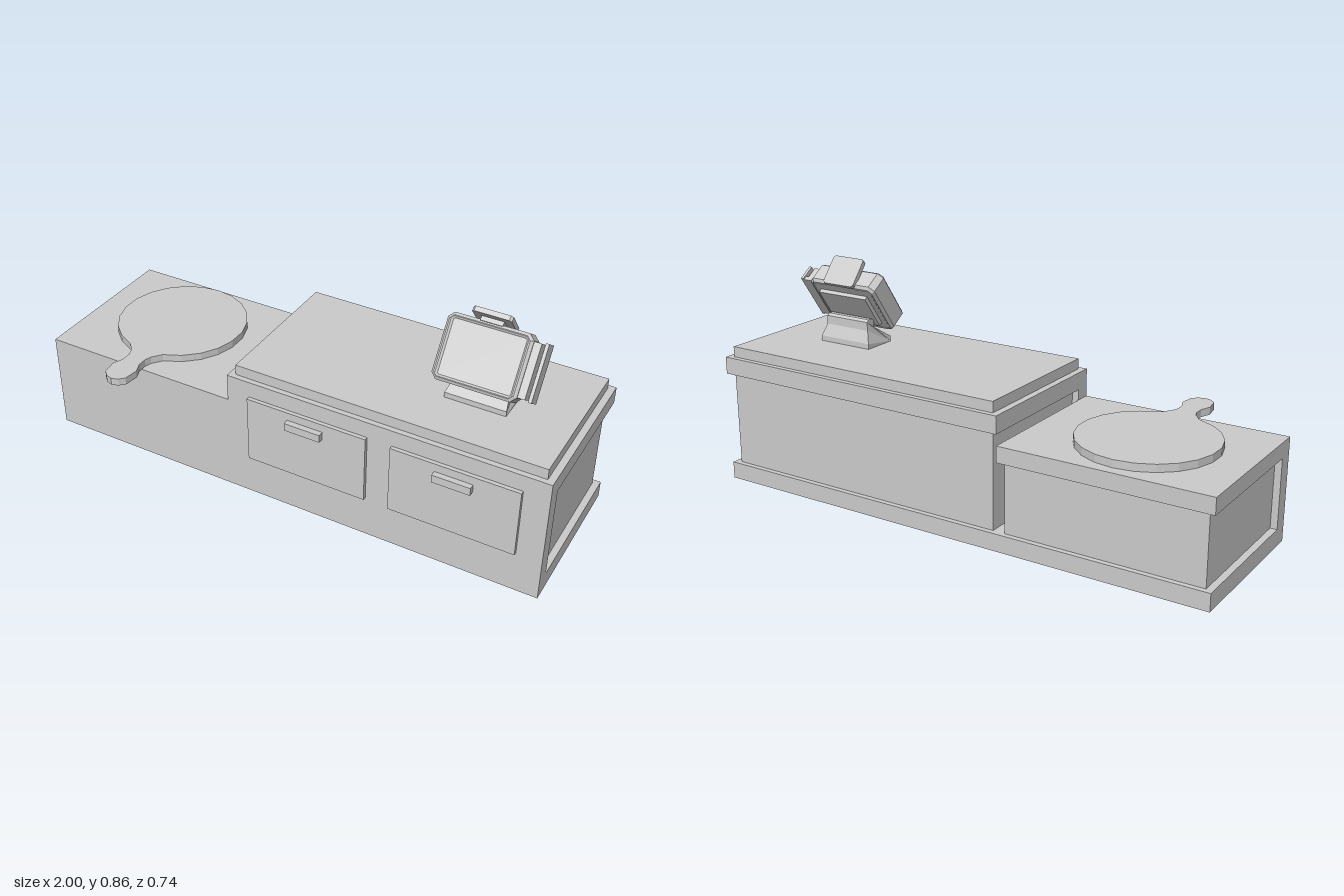
import * as THREE from 'three';

const material = new THREE.MeshStandardMaterial({ color: 0xcccccc, flatShading: true });

function add(parent, name, geometry) {
  const mesh = new THREE.Mesh(geometry, material);
  mesh.name = name;
  parent.add(mesh);
  return mesh;
}

// Box given by its limits on each axis
function box(parent, name, x0, x1, y0, y1, z0, z1) {
  const mesh = add(parent, name, new THREE.BoxGeometry(x1 - x0, y1 - y0, z1 - z0));
  mesh.position.set((x0 + x1) / 2, (y0 + y1) / 2, (z0 + z1) / 2);
  return mesh;
}

// Rectangle outline with cut corners
function cutRect(hw, hh, c) {
  return [
    [-hw + c, -hh], [hw - c, -hh], [hw, -hh + c], [hw, hh - c],
    [hw - c, hh], [-hw + c, hh], [-hw, hh - c], [-hw, -hh + c],
  ].map(([x, y]) => new THREE.Vector2(x, y));
}

// Cabinet: front board, recessed core, and overhanging rails
function cabinet(name, x0, x1, coreX0, coreX1, height, railHeight) {
  const group = new THREE.Group();
  group.name = name;
  box(group, 'frontBoard', x0, x1, 0, height, 0.18, 0.24);
  box(group, 'core', coreX0, coreX1, 0.065, height - railHeight, -0.35, 0.18);
  box(group, 'bottomRail', x0, x1, 0, 0.065, -0.37, 0.18);
  box(group, 'topRail', x0, x1, height - railHeight, height, -0.37, 0.18);
  return group;
}

// Round board with a knobbed handle, lying flat
function servingBoard() {
  const pts = [];
  const r = 0.25, n = 20, open = 0.3;
  for (let i = 0; i <= n; i++) {
    const a = -Math.PI / 2 + open + (i / n) * (2 * Math.PI - 2 * open);
    pts.push(new THREE.Vector2(r * Math.cos(a), r * Math.sin(a)));
  }
  const side = [[-0.045, -0.275], [-0.037, -0.3], [-0.037, -0.335], [-0.053, -0.375], [-0.045, -0.43], [-0.025, -0.45]];
  side.forEach(([x, y]) => pts.push(new THREE.Vector2(x, y)));
  pts.push(new THREE.Vector2(0, -0.457));
  side.reverse().forEach(([x, y]) => pts.push(new THREE.Vector2(-x, y)));
  const geometry = new THREE.ExtrudeGeometry(new THREE.Shape(pts), { depth: 0.028, bevelEnabled: false });
  return geometry.rotateX(-Math.PI / 2);
}

// Stand: side profile swept across x, narrowing upwards
function standGeometry() {
  const profile = [
    [0.03, 0], [0.03, 0.02], [-0.045, 0.07], [-0.047, 0.097], [-0.058, 0.105],
    [-0.077, 0.105], [-0.087, 0.097], [-0.087, 0.065], [-0.105, 0.02], [-0.105, 0],
  ].map(([z, y]) => new THREE.Vector2(z, y));
  const geometry = new THREE.ExtrudeGeometry(new THREE.Shape(profile), { depth: 2, bevelEnabled: false });
  geometry.translate(0, 0, -1).rotateY(-Math.PI / 2);
  const p = geometry.attributes.position;
  for (let i = 0; i < p.count; i++) {
    const t = THREE.MathUtils.clamp((p.getY(i) - 0.02) / 0.05, 0, 1);
    p.setX(i, p.getX(i) * (0.113 - 0.018 * t));
  }
  geometry.computeVertexNormals();
  return geometry;
}

function terminal() {
  const group = new THREE.Group();
  group.name = 'terminal';
  add(group, 'stand', standGeometry()).position.y = 0.53;

  // Tilted display head
  const head = new THREE.Group();
  head.name = 'displayHead';
  head.position.set(0, 0.698, -0.024);
  head.rotation.x = -0.607;
  group.add(head);

  const bevel = 0.01;
  const outline = new THREE.Shape(cutRect(0.152 - bevel, 0.1165 - bevel, 0.014));
  outline.holes.push(new THREE.Path(cutRect(0.132 + bevel / 2, 0.099 + bevel / 2, 0.008).reverse()));
  const shell = new THREE.ExtrudeGeometry(outline, {
    depth: 0.088 - 2 * bevel, bevelThickness: bevel, bevelSize: bevel, bevelSegments: 1,
  });
  add(head, 'casing', shell.translate(0, 0, -0.044 + bevel));
  box(head, 'screen', -0.135, 0.135, -0.1, 0.1, -0.043, 0.037);
  box(head, 'rearPlate', -0.11, 0.11, -0.075, 0.07, -0.059, -0.04);

  // Slotted card reader on the side
  box(head, 'readerRail', 0.148, 0.178, -0.095, 0.095, -0.032, 0.03);
  box(head, 'readerSlot', 0.175, 0.192, -0.095, 0.095, -0.032, -0.015);
  box(head, 'readerPlate', 0.19, 0.202, -0.1, 0.1, -0.032, 0.03);

  // Small customer display behind the top edge
  const rear = new THREE.Group();
  rear.name = 'customerDisplay';
  rear.position.set(0, 0.808, -0.092);
  rear.rotation.x = -0.7;
  group.add(rear);
  const plate = new THREE.ExtrudeGeometry(new THREE.Shape(cutRect(0.07, 0.058, 0.008)), { depth: 0.018, bevelEnabled: false });
  // The plate faces up and backwards
  add(rear, 'displayPlate', plate.translate(0, 0, -0.009)).rotation.x = -Math.PI / 2 + 0.0;
  box(rear, 'displayMount', -0.04, 0.04, -0.025, 0, -0.03, 0.03);
  rear.rotation.x = -0.88 + 0.0;
  rear.rotation.x *= -1;
  rear.rotation.x = -rear.rotation.x;
  return group;
}

export function createModel() {
  const model = new THREE.Group();
  model.add(cabinet('lowCabinet', -1, -0.215, -0.975, -0.235, 0.385, 0.06));
  model.add(cabinet('tallCabinet', -0.215, 1, -0.19, 0.975, 0.49, 0.065));
  box(model, 'worktop', -0.19, 0.975, 0.49, 0.53, -0.35, 0.22);

  // Drawer fronts with handles
  for (const x of [0.11, 0.6725]) {
    box(model, 'drawerFront', x - 0.235, x + 0.235, 0.165, 0.428, 0.235, 0.255);
    box(model, 'drawerHandle', x - 0.07, x + 0.07, 0.367, 0.397, 0.25, 0.277);
  }

  add(model, 'servingBoard', servingBoard()).position.set(-0.63, 0.386, -0.083);

  const register = terminal();
  register.position.x = 0.6375;
  model.add(register);
  return model;
}
